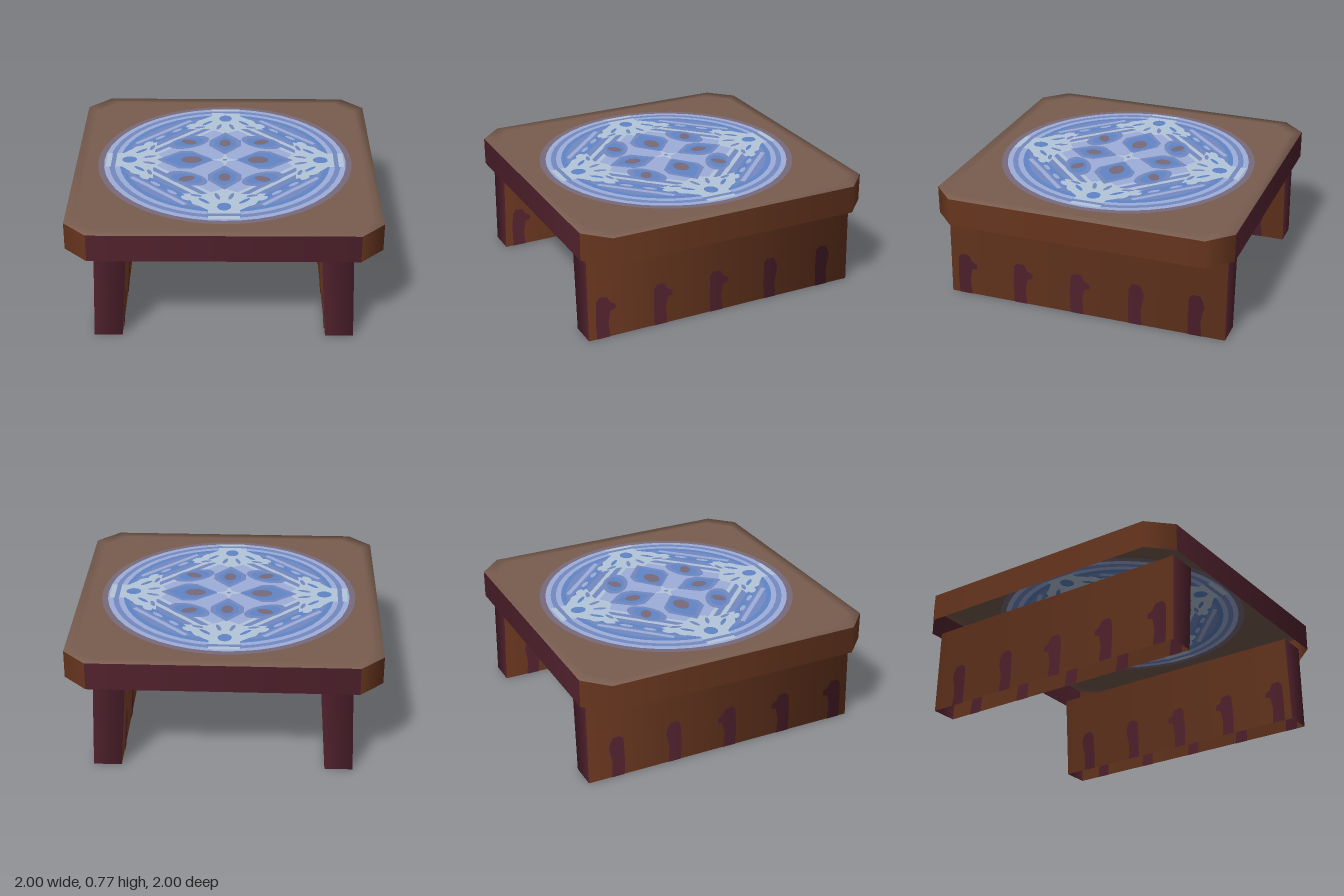
import * as THREE from 'three';

const paint = (name, color) => Object.assign(
  new THREE.MeshStandardMaterial({ color, side: THREE.DoubleSide }), { name });

export function createModel() {
  const model = new THREE.Group();
  const brown = paint('warmBrown', 0x68361f);
  const maroon = paint('maroon', 0x50212d);
  const topBrown = paint('dustyBrown', 0x795d4f);
  const mauve = paint('mauve', 0x786b7d);
  const mid = paint('midBlue', 0x748ac2);
  const deep = paint('deepBlue', 0x6086c8);
  const light = paint('lightBlue', 0x9eaeda);
  const pale = paint('paleBlue', 0xb5c6db);

  // Unit normals halfway round each corner of a ring of [x, z], counter-clockwise from above
  function cornerNormals(ring) {
    const n = ring.length;
    const flat = ring.map((p, i) => {
      const q = ring[(i + 1) % n];
      return new THREE.Vector3(p[1] - q[1], 0, q[0] - p[0]).normalize();
    });
    return flat.map((f, i) => f.clone().add(flat[(i + n - 1) % n]).normalize());
  }

  // Collects quads of [point, normal] corners into one mesh, one material per quad
  function quadMesh(name, quads, mats) {
    const pos = [], nor = [], used = [...new Set(mats)];
    const geo = new THREE.BufferGeometry();
    quads.forEach((quad, i) => {
      geo.addGroup(i * 6, 6, used.indexOf(mats[i % mats.length]));
      for (const k of [0, 1, 2, 0, 2, 3]) {
        pos.push(...quad[k][0]);
        nor.push(...quad[k][1].toArray());
      }
    });
    geo.setAttribute('position', new THREE.Float32BufferAttribute(pos, 3));
    geo.setAttribute('normal', new THREE.Float32BufferAttribute(nor, 3));
    const mesh = new THREE.Mesh(geo, used);
    mesh.name = name;
    return mesh;
  }

  // Open band of walls between two rings
  function walls(name, low, high, y0, y1, mats, lowNormals, highNormals) {
    const at = (p, y, q) => [[p[0], y, p[1]], q];
    return quadMesh(name, low.map((p, i) => {
      const j = (i + 1) % low.length;
      return [at(p, y0, lowNormals[i]), at(low[j], y0, lowNormals[j]),
        at(high[j], y1, highNormals[j]), at(high[i], y1, highNormals[i])];
    }), mats);
  }

  // Hollow table top with cut corners: rim, softly shaded edge and flat middle
  const c = 0.85, slabLow = 0.583, slabHigh = 0.766;
  const octagon = [[1, c], [1, -c], [c, -1], [-c, -1], [-1, -c], [-1, c], [-c, 1], [c, 1]];
  const inner = octagon.map(([x, z]) => [x * 0.93, z * 0.93]);
  const up = new THREE.Vector3(0, 1, 0);
  const out = cornerNormals(octagon);
  model.add(walls('tableRim', octagon, octagon, slabLow, slabHigh,
    [brown, brown, maroon, brown], out, out));
  model.add(walls('tableEdge', octagon, inner, slabHigh, slabHigh, [topBrown],
    out.map(n => n.clone().add(up).normalize()), out.map(() => up)));
  const middle = new THREE.Mesh(new THREE.ShapeGeometry(
    new THREE.Shape(inner.map(([x, z]) => new THREE.Vector2(x, -z)))).rotateX(-Math.PI / 2), topBrown);
  middle.name = 'tableTop';
  middle.position.y = slabHigh;
  model.add(middle);

  // Hollow panel legs, splayed outward, with maroon drips on every long wall
  const zEnd = 0.95;
  const drip = [[0.045, 0], [0.05, 0.12], [0.045, 0.26], [0.02, 0.285], [-0.03, 0.28],
    [-0.05, 0.24], [-0.085, 0.22], [-0.085, 0.19], [-0.05, 0.18], [-0.035, 0.1], [-0.045, 0]];
  const plainDrip = drip.map(([z, y]) => [Math.max(z, -0.055), y]);
  const dripZ = [0.85, 0.45, 0.05, -0.35, -0.75];

  function legRing(s, near, far) {
    const [lo, hi] = [s * near, s * far].sort((a, b) => a - b);
    return [[hi, zEnd], [hi, -zEnd], [lo, -zEnd], [lo, zEnd]];
  }
  function dripPlate(outline, z, facing, xLow, xHigh, offset) {
    const shape = new THREE.Shape(outline.map(([u, y]) => new THREE.Vector2(-facing * (u + z), y)));
    const geo = new THREE.ShapeGeometry(shape).rotateY(facing * Math.PI / 2);
    const p = geo.attributes.position, q = geo.attributes.normal;
    for (let i = 0; i < p.count; i++) {
      const nz = p.getZ(i) / zEnd, len = Math.hypot(1, nz);
      p.setX(i, xLow + (xHigh - xLow) * p.getY(i) / slabLow + facing * offset);
      q.setXYZ(i, facing / len, 0, nz / len);
    }
    const mesh = new THREE.Mesh(geo, maroon);
    mesh.name = 'drip';
    return mesh;
  }
  for (const s of [1, -1]) {
    const leg = new THREE.Group();
    leg.name = s > 0 ? 'leftLeg' : 'rightLeg';
    const foot = legRing(s, 0.65, 0.83), normals = cornerNormals(foot);
    leg.add(walls('legPanel', foot, legRing(s, 0.61, 0.81), 0, slabLow,
      [brown, maroon, brown, maroon], normals, normals));
    dripZ.forEach((z, i) => {
      const outline = i < 3 ? drip : plainDrip;
      for (const offset of [0.003, -0.003]) {
        leg.add(dripPlate(outline, z, s, s * 0.83, s * 0.81, offset));
        leg.add(dripPlate(outline, z, -s, s * 0.65, s * 0.61, offset));
      }
    });
    model.add(leg);
  }

  // Round painted ornament, layered as very thin faces
  function ornament(name) {
    const group = new THREE.Group();
    group.name = name;
    const lay = (geo, mat, level, part, turn = 0) => {
      const mesh = new THREE.Mesh(geo, mat);
      mesh.name = part;
      mesh.rotation.set(-Math.PI / 2, 0, turn);
      mesh.position.y = 0.001 + level * 0.0008;
      group.add(mesh);
    };
    const four = (geo, mat, level, part) => {
      for (let k = 0; k < 4; k++) lay(geo, mat, level, part, k * Math.PI / 2);
    };
    const poly = pts => new THREE.ShapeGeometry(new THREE.Shape(pts.map(p => new THREE.Vector2(...p))));
    const oval = (x, y, rx, ry, a = 0) =>
      new THREE.CircleGeometry(1, 20).scale(rx, ry, 1).rotateZ(a).translate(x, y, 0);
    const bar = (d, halfLength, w) =>
      new THREE.PlaneGeometry(2 * halfLength, w).translate(0, d, 0).rotateZ(-Math.PI / 4);

    // Rings
    [[0.855, mauve], [0.815, light], [0.78, mid], [0.745, light], [0.71, deep], [0.675, mid]]
      .forEach(([r, mat], i) => lay(new THREE.CircleGeometry(r, 48), mat, i, 'ring'));

    // Border outside the inner diamond
    four(bar(0.61, 0.26, 0.03), light, 6, 'outerBand');
    four(bar(0.55, 0.34, 0.05), deep, 6, 'outerBand');
    for (const t of [-0.3, -0.2, 0.2, 0.3])
      four(oval(t, 0.55, 0.04, 0.022).rotateZ(-Math.PI / 4), pale, 7, 'fleck');
    for (const t of [-0.08, 0.08])
      four(oval(t, 0.56, 0.045, 0.015).rotateZ(-Math.PI / 4), light, 7, 'fleck');

    // Inner diamond and its edge bands
    four(poly([[0, 0], [0.64, 0], [0, 0.64]]), light, 6, 'diamond');
    four(bar(0.465, 0.42, 0.03), pale, 7, 'diamondBand');
    four(bar(0.43, 0.4, 0.035), mid, 7, 'diamondBand');
    four(bar(0.395, 0.36, 0.025), pale, 7, 'diamondBand');

    // Medallions at the four points
    four(poly([[-0.1, 0.8], [-0.1, 0.69], [-0.2, 0.6], [-0.27, 0.47], [-0.12, 0.48], [0, 0.4],
      [0.12, 0.48], [0.27, 0.47], [0.2, 0.6], [0.1, 0.69], [0.1, 0.8]]), pale, 8, 'medallion');
    four(oval(0, 0.645, 0.045, 0.05), deep, 9, 'medallionDot');
    four(poly([[-0.11, 0.765], [0.11, 0.765], [0.11, 0.735], [-0.11, 0.735]]), mid, 9, 'medallionBar');
    for (const m of [-1, 1]) {
      four(oval(m * 0.13, 0.57, 0.05, 0.014, m * -0.8), deep, 9, 'medallionFleck');
      four(oval(m * 0.18, 0.5, 0.04, 0.014, m * -0.3), mid, 9, 'medallionFleck');
      four(oval(m * 0.045, 0.51, 0.014, 0.045, m * 0.3), mid, 9, 'medallionFleck');
    }

    // Petals around the centre
    const petal = (a, b, w) => poly([[a, 0], [(a + b) / 2 - 0.04, w], [(a + b) / 2 + 0.04, w],
      [b, 0], [(a + b) / 2 + 0.04, -w], [(a + b) / 2 - 0.04, -w]]);
    for (const k of [0, 2]) {
      const turn = k * Math.PI / 2, across = turn + Math.PI / 2;
      lay(petal(0.07, 0.46, 0.13), mid, 9, 'sidePetal', turn);
      lay(petal(0.09, 0.42, 0.1), deep, 9.5, 'sidePetal', turn);
      lay(oval(0.225, 0, 0.07, 0.05), mauve, 10, 'sidePetalHeart', turn);
      lay(petal(0.08, 0.42, 0.11), mid, 9, 'endPetal', across);
      lay(petal(0.13, 0.37, 0.075), deep, 9.5, 'endPetal', across);
      lay(oval(0.25, 0, 0.055, 0.04), mauve, 10, 'endPetalHeart', across);
    }
    for (const sx of [-1, 1]) for (const sy of [-1, 1]) {
      lay(oval(sx * 0.25, sy * 0.265, 0.15, 0.085, sx * sy * -0.5), mid, 8, 'cornerPetal');
      lay(oval(sx * 0.25, sy * 0.265, 0.11, 0.06, sx * sy * -0.4), deep, 8.5, 'cornerPetal');
      lay(oval(sx * 0.25, sy * 0.27, 0.055, 0.035, sx * sy * 0.4), mauve, 9, 'cornerPetalHeart');
    }
    four(poly([[0, 0], [0.02, 0.03], [0, 0.09], [-0.02, 0.03]]), pale, 9.5, 'centreStar');
    lay(oval(0, 0, 0.035, 0.035), pale, 9.8, 'centreDisc');
    lay(oval(0, 0, 0.014, 0.014), mid, 10, 'centreDot');
    return group;
  }
  const upper = ornament('topOrnament');
  upper.position.y = slabHigh;
  const lower = ornament('undersideOrnament');
  lower.rotation.x = Math.PI;
  lower.position.y = slabHigh;
  model.add(upper, lower);
  return model;
}
